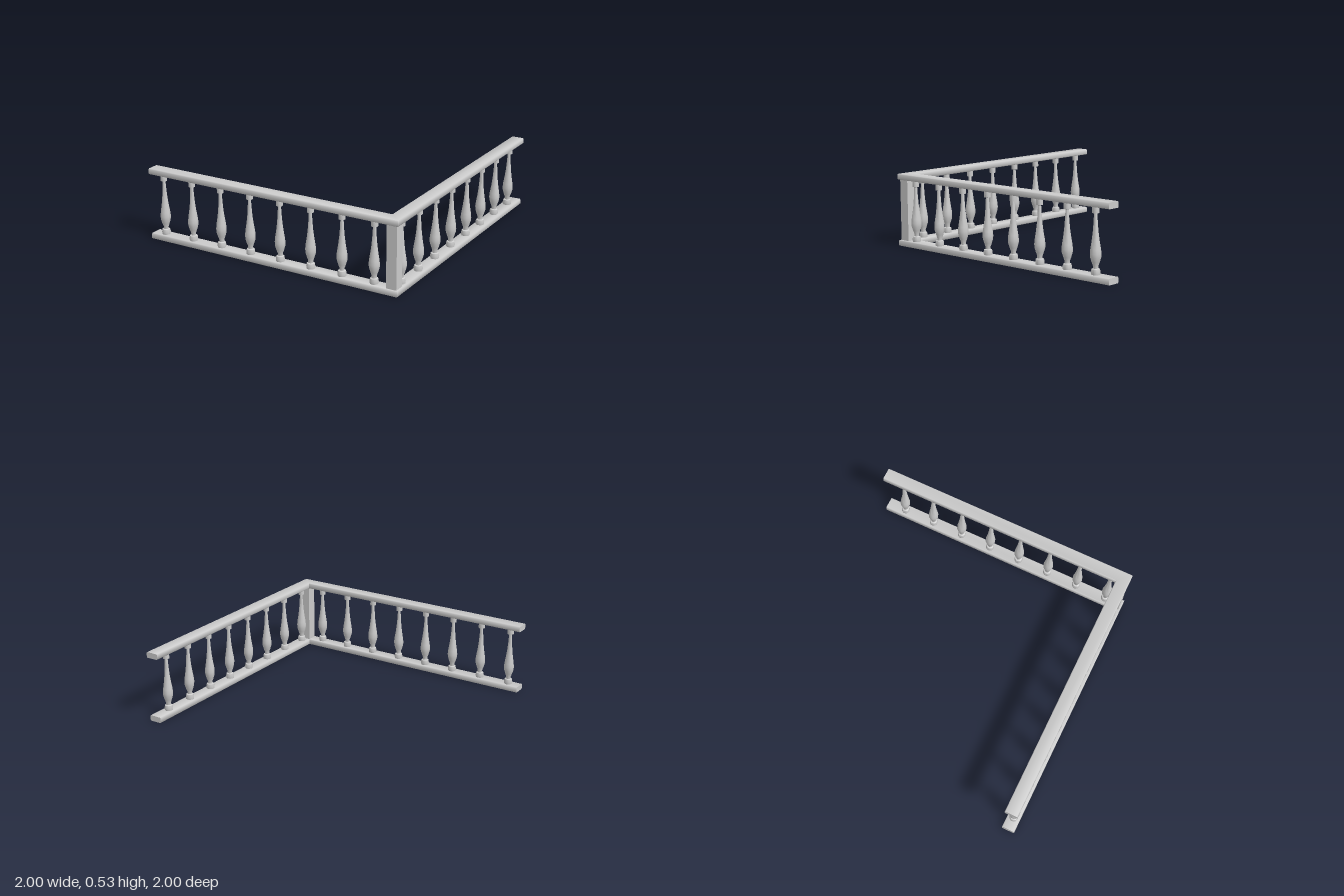
import * as THREE from 'three';
import { toCreasedNormals } from 'three/addons/utils/BufferGeometryUtils.js';

const material = new THREE.MeshStandardMaterial({ color: 0xcccccc, side: THREE.DoubleSide });

// Rail cross-section: [distance in from the outer edge, height], edges eased
const H = 0.043, W = 0.096, C = 0.006;
const section = [
  [C, 0], [W - C, 0], [W, C], [W, H - C],
  [W - C, H], [C, H], [0, H - C], [0, C],
];

// L-shaped rail, mitred at the corner
function railGeometry() {
  const n = section.length;
  const rings = [
    section.map(([d, y]) => [-1, y, 1 - d]),
    section.map(([d, y]) => [1 - d, y, 1 - d]),
    section.map(([d, y]) => [1 - d, y, -1]),
  ];
  const index = [];
  for (let r = 0; r < 2; r++) {
    for (let i = 0; i < n; i++) {
      const a = r * n + i, b = r * n + (i + 1) % n;
      index.push(a, b, b + n, a, b + n, a + n);
    }
  }
  // End caps
  for (let i = 1; i < n - 1; i++) {
    index.push(0, i + 1, i, 2 * n, 2 * n + i, 2 * n + i + 1);
  }
  // Reverse the winding so faces point outwards
  for (let i = 0; i < index.length; i += 3) {
    [index[i + 1], index[i + 2]] = [index[i + 2], index[i + 1]];
  }
  const g = new THREE.BufferGeometry();
  g.setAttribute('position', new THREE.Float32BufferAttribute(rings.flat(2), 3));
  g.setIndex(index);
  return toCreasedNormals(g, 0.9);
}

// Turned baluster with a foot bead, vase body, thin neck and cap
function balusterGeometry() {
  const profile = [
    [0, 0.04], [0.03, 0.043], [0.032, 0.06], [0.028, 0.08], [0.018, 0.084],
    [0.018, 0.1], [0.027, 0.125], [0.036, 0.155], [0.038, 0.18], [0.035, 0.21],
    [0.026, 0.265], [0.019, 0.32], [0.015, 0.37], [0.012, 0.42], [0.011, 0.443],
    [0.024, 0.446], [0.024, 0.492], [0, 0.492],
  ].map(([r, y]) => new THREE.Vector2(r, y));
  return toCreasedNormals(new THREE.LatheGeometry(profile, 10), 0.9);
}

export function createModel() {
  const group = new THREE.Group();
  const add = (name, geometry, x, y, z) => {
    const mesh = new THREE.Mesh(geometry, material);
    mesh.name = name;
    mesh.position.set(x, y, z);
    group.add(mesh);
  };

  // Rails
  const rail = railGeometry();
  add('bottomRail', rail, 0, 0, 0);
  add('topRail', rail, 0, 0.49, 0);

  // Corner post
  add('cornerPost', new THREE.BoxGeometry(0.076, 0.45, 0.076), 0.948, 0.267, 0.948);

  // Balusters along both wings
  const baluster = balusterGeometry();
  for (let i = 0; i < 8; i++) {
    add('frontBaluster', baluster, -0.905 + i * 0.244, 0, 0.952);
    add('sideBaluster', baluster, 0.952, 0, 0.858 - i * 0.244);
  }
  return group;
}
